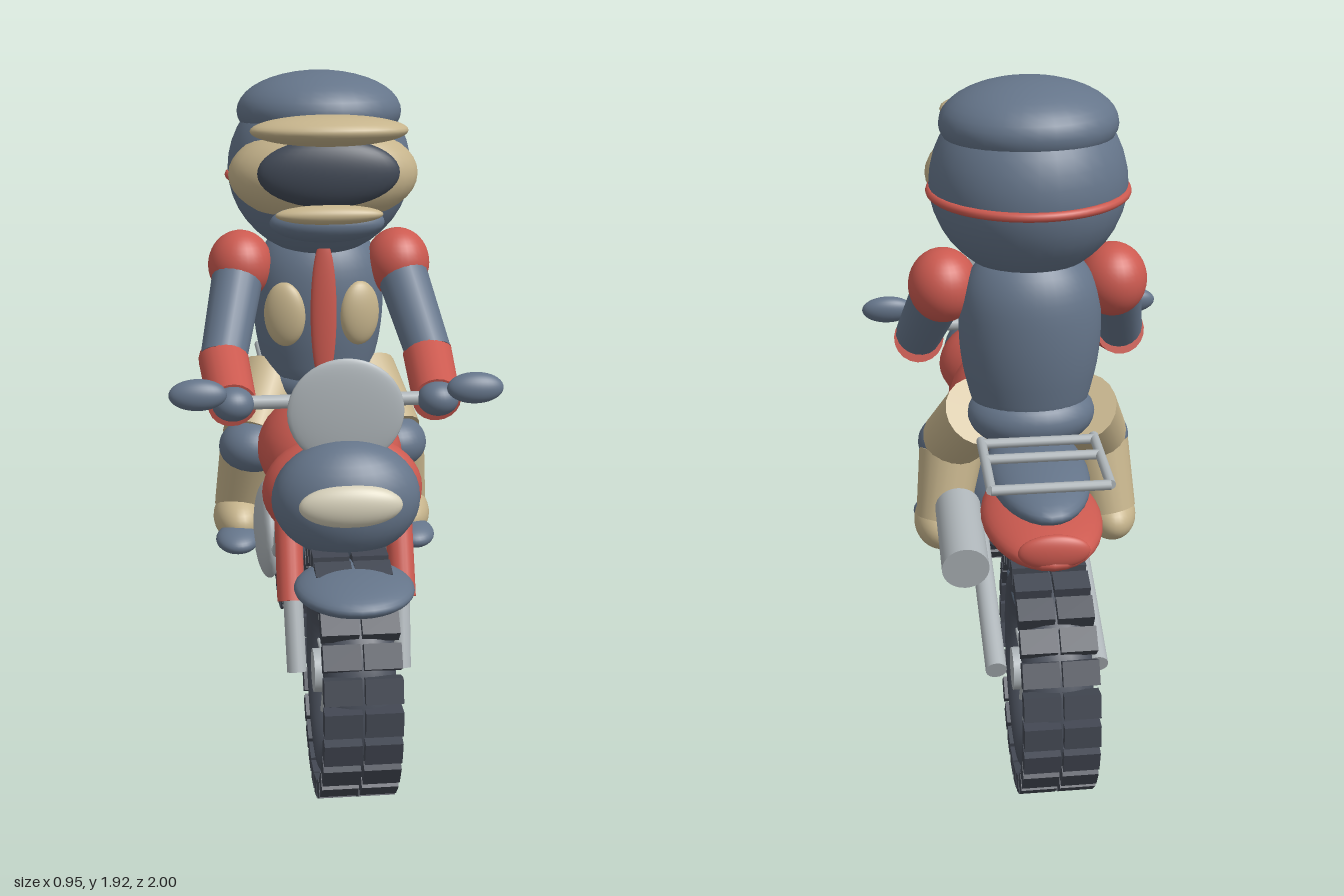
import * as THREE from 'three';

const mat = (name, color) => {
  const m = new THREE.MeshStandardMaterial({ color });
  m.name = name;
  return m;
};

export function createModel() {
  const slate = mat('slate', 0x65758a), red = mat('red', 0xcc5a50), tan = mat('tan', 0xc6b48c);
  const steel = mat('steel', 0xaeb5b9), rubber = mat('rubber', 0x4a505c), knobMat = mat('tread', 0x434853);
  const glass = mat('goggle glass', 0x424a57), cream = mat('lamp cream', 0xd6d0ba);

  const model = new THREE.Group();
  model.name = 'motorcycleAndRider';
  const group = (name) => {
    const g = new THREE.Group();
    g.name = name;
    model.add(g);
    return g;
  };
  const put = (parent, name, geo, material, pos = [0, 0, 0]) => {
    const m = new THREE.Mesh(geo, material);
    m.name = name;
    m.position.set(...pos);
    parent.add(m);
    return m;
  };
  // ellipsoid from centre and three radii, pitched about x
  const ball = (parent, name, material, pos, radii, pitch = 0) => {
    const m = put(parent, name, new THREE.SphereGeometry(1, 32, 20), material, pos);
    m.scale.set(...radii);
    m.rotation.x = pitch;
    return m;
  };
  // tapered rod between two points
  const rod = (parent, name, material, a, b, ra, rb = ra, sides = 20) => {
    const p = new THREE.Vector3(...a), q = new THREE.Vector3(...b);
    const dir = q.clone().sub(p);
    const m = put(parent, name, new THREE.CylinderGeometry(rb, ra, dir.length(), sides), material);
    m.position.copy(p).add(q).multiplyScalar(0.5);
    m.quaternion.setFromUnitVectors(new THREE.Vector3(0, 1, 0), dir.normalize());
    return m;
  };

  // wheels
  const tireGeo = new THREE.TorusGeometry(0.25, 0.066, 18, 56).rotateY(Math.PI / 2).scale(1.45, 1, 1);
  const rimGeo = new THREE.LatheGeometry(
    [[0.13, -0.06], [0.2, -0.06], [0.2, 0.06], [0.13, 0.06], [0.13, -0.06]].reverse()
      .map(([r, y]) => new THREE.Vector2(r, y)), 48).toNonIndexed().rotateZ(Math.PI / 2);
  rimGeo.computeVertexNormals();
  const rimMat = steel;
  rimMat.side = THREE.DoubleSide;
  const knobGeo = new THREE.BoxGeometry(0.098, 0.05, 0.066);
  const spokeGeo = new THREE.CylinderGeometry(0.006, 0.006, 0.15, 6);
  for (const [name, z] of [['frontWheel', 0.655], ['rearWheel', -0.655]]) {
    const w = group(name);
    w.position.set(0, 0.345, z);
    put(w, 'tire', tireGeo, rubber);
    put(w, 'rim', rimGeo, rimMat);
    put(w, 'hub', new THREE.CylinderGeometry(0.06, 0.06, 0.2, 24).rotateZ(Math.PI / 2), steel);
    for (let i = 0; i < 24; i++) {
      const a = (i / 24) * Math.PI * 2;
      for (const s of [-1, 1]) {
        const k = put(w, 'treadBlock', knobGeo, knobMat, [s * 0.053, Math.cos(a) * 0.318, Math.sin(a) * 0.318]);
        k.rotation.x = a;
      }
    }
    for (let i = 0; i < 12; i++) {
      const a = (i / 12) * Math.PI * 2;
      for (const s of [-1, 1]) {
        const k = put(w, 'spoke', spokeGeo, steel, [s * 0.064, Math.cos(a) * 0.125, Math.sin(a) * 0.125]);
        k.rotation.x = a;
      }
    }
  }

  // body of the motorcycle
  const bike = group('bikeBody');
  ball(bike, 'fuelTank', red, [0, 0.82, 0.13], [0.215, 0.16, 0.33]);
  ball(bike, 'frontCowl', red, [0, 0.81, 0.485], [0.225, 0.165, 0.11]);
  ball(bike, 'headlampHousing', slate, [0, 0.815, 0.57], [0.205, 0.165, 0.135]);
  ball(bike, 'headlamp', cream, [0, 0.83, 0.685], [0.14, 0.06, 0.04]);
  ball(bike, 'windshield', steel, [0, 1.055, 0.56], [0.16, 0.15, 0.02]);
  ball(bike, 'frontFender', slate, [0, 0.63, 0.765], [0.16, 0.046, 0.18]);
  ball(bike, 'seat', slate, [0, 0.84, -0.41], [0.145, 0.065, 0.33], 0.05);
  ball(bike, 'rearFender', red, [0, 0.745, -0.5], [0.17, 0.065, 0.31], 0.04);
  ball(bike, 'tailLamp', red, [0, 0.79, -0.785], [0.097, 0.05, 0.025]);
  ball(bike, 'engine', slate, [0, 0.545, 0.035], [0.2, 0.175, 0.235]);
  ball(bike, 'chainGuard', slate, [0, 0.525, -0.42], [0.09, 0.055, 0.27], -0.31);
  rod(bike, 'muffler', steel, [0.225, 0.705, -0.345], [0.225, 0.665, -0.635], 0.066, 0.066, 28);
  rod(bike, 'handlebar', steel, [-0.32, 1.02, 0.31], [0.32, 1.02, 0.31], 0.02);
  for (const s of [-1, 1]) {
    ball(bike, 'engineCover', steel, [s * 0.18, 0.535, 0.03], [0.045, 0.15, 0.17]);
    rod(bike, 'swingArm', steel, [s * 0.15, 0.52, -0.1], [s * 0.145, 0.345, -0.66], 0.03);
    rod(bike, 'upperFork', red, [s * 0.155, 0.8, 0.48], [s * 0.155, 0.53, 0.6], 0.038);
    rod(bike, 'lowerFork', steel, [s * 0.15, 0.56, 0.585], [s * 0.145, 0.345, 0.66], 0.027);
    const pipe = new THREE.CatmullRomCurve3([[0.72, 0.42], [0.62, 0.32], [0.54, 0.25], [0.53, 0.1]]
      .map(([y, z]) => new THREE.Vector3(s * 0.165, y, z)));
    put(bike, 'framePipe', new THREE.TubeGeometry(pipe, 20, 0.017, 10), steel);
    rod(bike, 'rackRail', steel, [s * 0.16, 0.945, -0.41], [s * 0.16, 0.945, -0.715], 0.014, 0.014, 12);
  }
  for (const z of [-0.43, -0.53, -0.715])
    rod(bike, 'rackBar', steel, [-0.16, 0.945, z], [0.16, 0.945, z], 0.014, 0.014, 12);

  // rider torso
  const rider = group('rider');
  const torsoProfile = new THREE.SplineCurve([[0, 0.94], [0.14, 0.95], [0.185, 1.05], [0.205, 1.2], [0.19, 1.34], [0.12, 1.43], [0, 1.45]]
    .map(([r, y]) => new THREE.Vector2(r, y))).getPoints(28);
  torsoProfile.forEach((p) => { p.x = Math.max(p.x, 0); });
  put(rider, 'torso', new THREE.LatheGeometry(torsoProfile, 40), slate, [0, 0, -0.215]).scale.z = 0.82;
  ball(rider, 'hips', slate, [0, 0.95, -0.23], [0.19, 0.1, 0.15]);
  ball(rider, 'scarf', red, [0, 1.2, -0.035], [0.04, 0.23, 0.016]);

  // head and helmet
  const head = group('head');
  ball(head, 'helmet', slate, [0, 1.63, -0.17], [0.28, 0.27, 0.273]);
  ball(head, 'helmetCrown', slate, [0, 1.8, -0.175], [0.25, 0.12, 0.232]);
  const band = put(head, 'helmetBand', new THREE.TorusGeometry(0.276, 0.013, 10, 48, Math.PI * 1.16), red, [0, 1.608, -0.172]);
  // the arc runs around the back of the helmet
  band.geometry.rotateZ(-Math.PI * 0.08).rotateX(-Math.PI / 2);
  ball(head, 'face', tan, [0, 1.625, -0.04], [0.284, 0.15, 0.165]);
  ball(head, 'goggles', glass, [0, 1.645, 0.115], [0.207, 0.1, 0.05]);
  ball(head, 'chinGuard', slate, [0, 1.495, 0.07], [0.17, 0.058, 0.085]);
  ball(head, 'noseGuard', tan, [0, 1.527, 0.135], [0.157, 0.029, 0.04]);
  ball(head, 'visor', tan, [0, 1.768, 0.13], [0.228, 0.045, 0.128], -0.03);

  // mirrored limbs
  for (const s of [-1, 1]) {
    const at = (x, y, z) => [s * x, y, z];
    const arm = group(s > 0 ? 'leftArm' : 'rightArm');
    ball(arm, 'shoulder', red, at(0.245, 1.33, -0.17), [0.1, 0.108, 0.105]);
    rod(arm, 'upperArm', slate, at(0.25, 1.32, -0.16), at(0.31, 1.09, 0.06), 0.08, 0.07);
    rod(arm, 'forearm', red, at(0.31, 1.085, 0.04), at(0.295, 1.01, 0.3), 0.075, 0.07);
    ball(arm, 'glove', slate, at(0.295, 1.02, 0.32), [0.06, 0.05, 0.055]);
    ball(arm, 'handGuard', slate, at(0.395, 1.06, 0.36), [0.082, 0.045, 0.036], -0.3);

    const leg = group(s > 0 ? 'leftLeg' : 'rightLeg');
    rod(leg, 'thigh', tan, at(0.15, 0.96, -0.24), at(0.22, 0.8, -0.08), 0.105, 0.095);
    ball(leg, 'knee', slate, at(0.22, 0.78, -0.055), [0.105, 0.085, 0.105]);
    rod(leg, 'shin', tan, at(0.225, 0.76, -0.075), at(0.26, 0.56, -0.135), 0.098, 0.08);
    ball(leg, 'boot', tan, at(0.265, 0.535, -0.1), [0.08, 0.078, 0.13]);
    ball(leg, 'bootToe', slate, at(0.275, 0.503, 0.025), [0.067, 0.036, 0.08], 0.12);
    ball(rider, 'chestPad', tan, at(0.115, 1.19, -0.078), [0.066, 0.1, 0.035]).rotation.y = s * 0.35;
  }
  return model;
}
